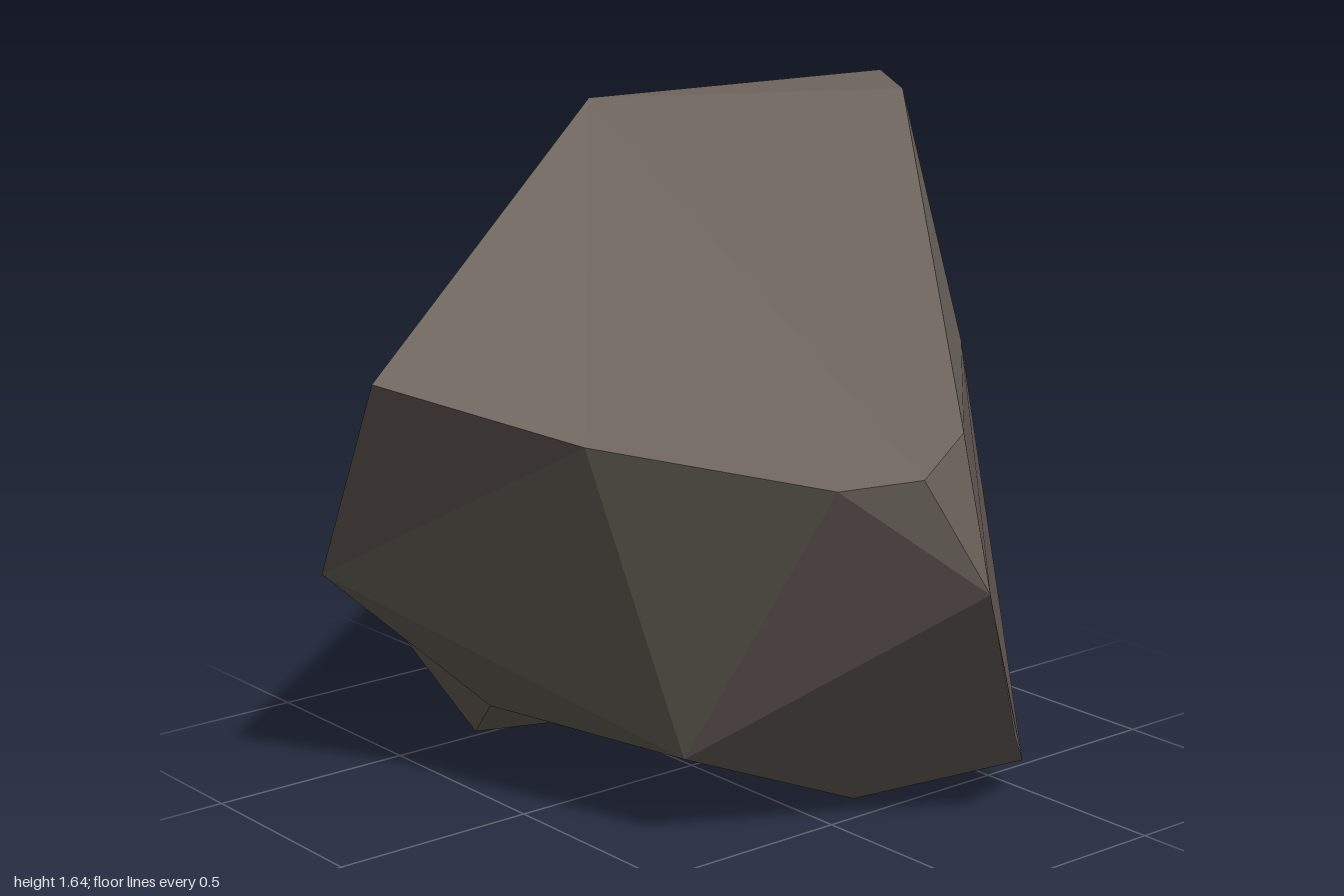
import * as THREE from 'three';

// Corner points of the boulder
const P = {
  // crown
  A: [-0.29, 1.58, 0.07], F: [0.11, 1.64, -0.48], G: [0.24, 1.615, -0.43],
  // front rim and right shoulder
  B: [0.02, 1.08, 0.9], K: [0.41, 0.975, 0.63], J: [0.86, 0.92, 0.32],
  I: [0.96, 0.94, 0.17], H: [0.95, 1.02, 0.05], L: [1, 0.67, 0.01],
  // low front edge
  C: [-1, 0.44, 0.07], D: [-0.75, 0.39, 0.45], E: [-0.48, 0.505, 0.72],
  M: [-0.18, 0.205, 0.46], N: [0.41, 0.217, 0.36],
  // back
  X: [0.52, 1.08, -0.36], U: [-0.13, 1.28, -0.77], V: [-0.54, 0.58, -0.91],
  Y: [-0.85, 0.45, -0.47], Z: [-0.57, 0.91, -0.63], W: [-0.3, 0.22, -0.8],
  // underside
  O: [0.41, 0, -0.15], Q: [0.78, 0.22, -0.3], S: [-0.66, 0.1, -0.1],
  R: [-0.41, 0.05, 0.34], T: [-0.18, 0.063, -0.18],
  a: [-0.6, 0.165, -0.44], b: [0.63, 0.08, -0.48],
};
const points = Object.fromEntries(
  Object.entries(P).map(([k, p]) => [k, new THREE.Vector3(...p)]));
const core = new THREE.Vector3(0, 0.75, 0);

// Fans each facet from its first corner and turns it to face outward
function facets(list) {
  const pos = [];
  for (const names of list) {
    const v = [...names].map((n) => points[n]);
    const normal = new THREE.Vector3();
    const mid = new THREE.Vector3();
    v.forEach((p, i) => {
      normal.add(p.clone().sub(core).cross(v[(i + 1) % v.length].clone().sub(core)));
      mid.addScaledVector(p, 1 / v.length);
    });
    if (normal.dot(mid.sub(core)) < 0) v.splice(1, v.length - 1, ...v.slice(1).reverse());
    for (let i = 1; i < v.length - 1; i++) {
      for (const p of [v[0], v[i], v[i + 1]]) pos.push(p.x, p.y, p.z);
    }
  }
  const g = new THREE.BufferGeometry();
  g.setAttribute('position', new THREE.Float32BufferAttribute(pos, 3));
  g.computeVertexNormals();
  return g;
}

export function createModel() {
  const group = new THREE.Group();
  group.name = 'boulder';
  const stone = (name, color) => {
    const m = new THREE.MeshStandardMaterial({ color, flatShading: true });
    m.name = name;
    return m;
  };
  const grey = stone('brown grey stone', 0x6b625a);
  const olive = stone('olive grey stone', 0x666157);
  const purple = stone('purple grey stone', 0x675b58);

  const parts = [
    ['slopingTop', grey, ['AFGHIJKB']],
    ['leftSide', grey, ['ACDEB', 'ZVYCA', 'AFUVZ']],
    ['backSide', grey, ['XGFU', 'XUVWb', 'XGH']],
    ['rightSide', purple, ['XHLQb', 'JLN']],
    ['rightShoulder', grey, ['JIL', 'IHL', 'LNObQ']],
    ['frontFace', olive, ['EKNM', 'KJN']],
    ['frontOverhang', grey, ['BEK', 'DEMR', 'CDRS']],
    ['underside', grey, ['TObWaSR', 'NOTM', 'MTR', 'VWaY', 'YaSC']],
  ];
  for (const [name, material, list] of parts) {
    const mesh = new THREE.Mesh(facets(list), material);
    mesh.name = name;
    group.add(mesh);
  }
  return group;
}
